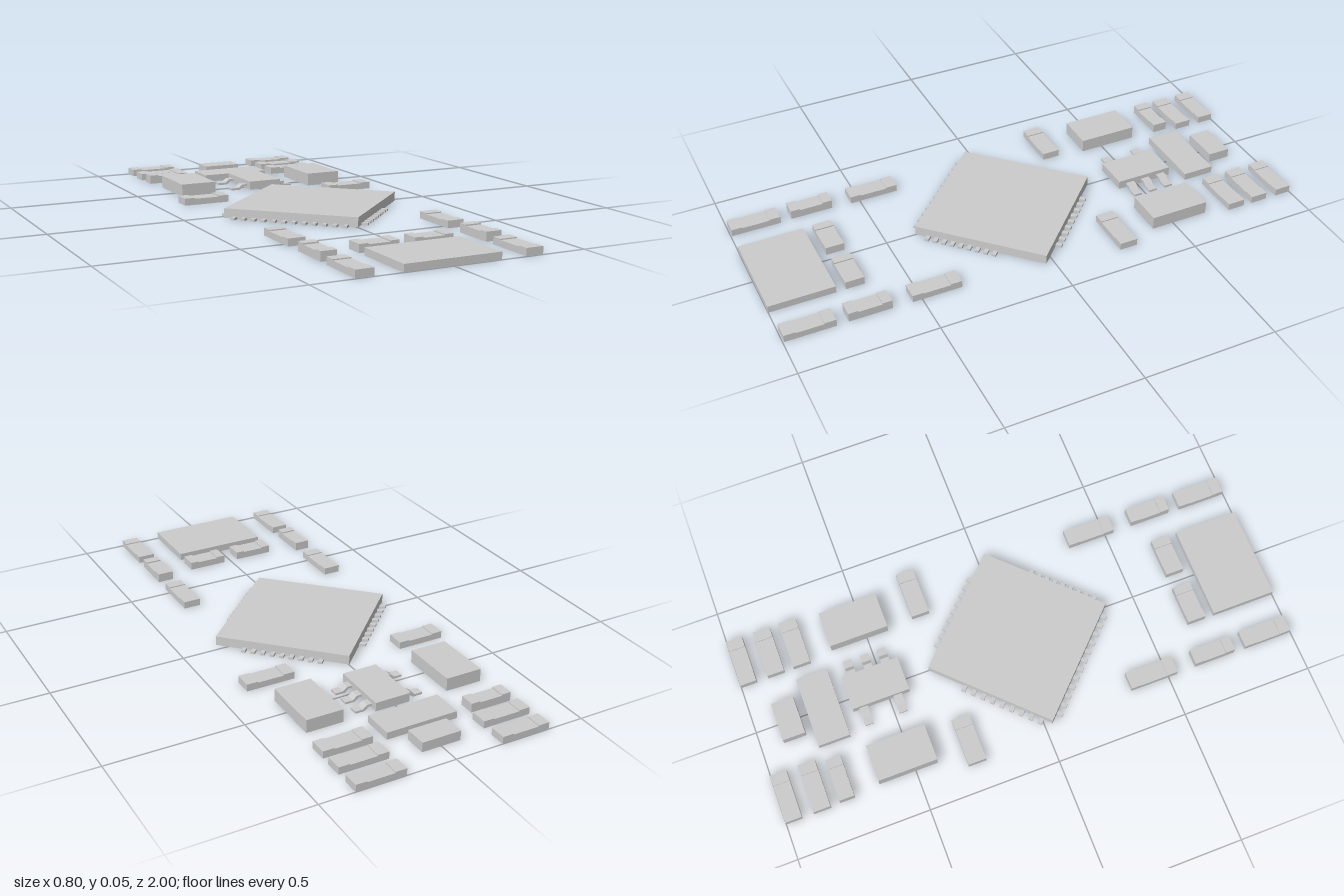
import * as THREE from 'three';

const grey = new THREE.MeshStandardMaterial({ color: 0xcccccc, flatShading: true });

// Box given by its extents in x, y and z
function box(name, x0, x1, y0, y1, z0, z1) {
  const mesh = new THREE.Mesh(new THREE.BoxGeometry(x1 - x0, y1 - y0, z1 - z0), grey);
  mesh.position.set((x0 + x1) / 2, (y0 + y1) / 2, (z0 + z1) / 2);
  mesh.name = name;
  return mesh;
}

// Two-terminal component: raised end caps with a lower body between, as one stepped profile
function chipComponent(name, x0, x1, z0, z1, h) {
  const alongX = x1 - x0 > z1 - z0;
  const length = alongX ? x1 - x0 : z1 - z0;
  const width = alongX ? z1 - z0 : x1 - x0;
  const a = length / 2, b = a * 0.55, low = h * 0.86;
  const profile = new THREE.Shape([
    [-a, 0], [a, 0], [a, h], [b, h], [b, low], [-b, low], [-b, h], [-a, h],
  ].map(([x, y]) => new THREE.Vector2(x, y)));
  const geometry = new THREE.ExtrudeGeometry(profile, { depth: width, bevelEnabled: false });
  geometry.translate(0, 0, -width / 2);
  const mesh = new THREE.Mesh(geometry, grey);
  if (!alongX) mesh.rotation.y = Math.PI / 2;
  mesh.position.set((x0 + x1) / 2, 0, (z0 + z1) / 2);
  mesh.name = name;
  return mesh;
}

// Bent lead running out along +x from the package wall down to the board
function gullWingLead(reach, width, top, thick) {
  const profile = new THREE.Shape([
    [-0.01, top - thick], [reach * 0.2, top - thick], [reach * 0.45, 0], [reach, 0],
    [reach, thick], [reach * 0.55, thick], [reach * 0.3, top], [-0.01, top],
  ].map(([x, y]) => new THREE.Vector2(x, y)));
  const geometry = new THREE.ExtrudeGeometry(profile, { depth: width, bevelEnabled: false });
  geometry.translate(0, 0, -width / 2);
  const mesh = new THREE.Mesh(geometry, grey);
  mesh.name = 'lead';
  return mesh;
}

// Square processor turned by 45 degrees, with short leads on each side
function processor() {
  const group = new THREE.Group();
  group.name = 'processor';
  const half = 0.252;
  group.add(box('processorBody', -half, half, 0.002, 0.037, -half, half));
  // Per side: quarter turns, lead count, first and last position along the edge
  const rows = [
    [0, 9, -0.15, 0.14],
    [1, 9, -0.21, 0.10],
    [2, 12, -0.21, 0.21],
    [3, 9, -0.06, 0.20],
  ];
  for (const [turns, count, from, to] of rows) {
    const side = new THREE.Group();
    side.name = 'leadRow';
    side.rotation.y = turns * Math.PI / 2;
    for (let i = 0; i < count; i++) {
      const z = from + (to - from) * i / (count - 1);
      side.add(box('lead', half - 0.01, half + 0.023, 0, 0.009, z - 0.008, z + 0.008));
    }
    group.add(side);
  }
  group.rotation.y = Math.PI / 4;
  group.position.z = 0.03;
  return group;
}

// Five-lead regulator
function regulator() {
  const group = new THREE.Group();
  group.name = 'regulator';
  group.add(box('regulatorBody', -0.053, 0.08, 0.003, 0.036, -0.64, -0.42));
  for (const z of [-0.6, -0.533, -0.467]) {
    const lead = gullWingLead(0.065, 0.033, 0.021, 0.008);
    lead.position.set(0.08, 0, z);
    group.add(lead);
    if (z === -0.533) continue;
    const mirrored = gullWingLead(0.067, 0.033, 0.021, 0.008);
    mirrored.rotation.y = Math.PI;
    mirrored.position.set(-0.053, 0, z);
    group.add(mirrored);
  }
  return group;
}

export function createModel() {
  const model = new THREE.Group();
  model.name = 'circuitComponents';
  model.add(processor(), regulator());

  // Plain blocks
  model.add(
    box('frontModule', -0.18, 0.178, 0, 0.027, 0.755, 1.0),
    box('crystal', -0.138, 0.135, 0, 0.027, -0.8, -0.68),
    box('rearBlock', -0.074, 0.074, 0, 0.036, -0.915, -0.83),
    box('rightInductor', -0.345, -0.205, 0, 0.049, -0.64, -0.415),
    box('leftInductor', 0.205, 0.345, 0, 0.049, -0.64, -0.415),
  );

  // Small two-terminal parts: x range, z range, height
  const chips = [
    [-0.365, -0.18, -1.0, -0.938, 0.027], [0.185, 0.37, -1.0, -0.938, 0.027],
    [-0.365, -0.18, -0.895, -0.83, 0.027], [0.185, 0.37, -0.895, -0.83, 0.027],
    [-0.36, -0.2, -0.795, -0.738, 0.034], [0.185, 0.37, -0.795, -0.728, 0.027],
    [-0.4, -0.22, -0.315, -0.247, 0.027], [0.215, 0.4, -0.315, -0.247, 0.027],
    [-0.345, -0.28, 0.35, 0.535, 0.027], [0.275, 0.34, 0.35, 0.535, 0.027],
    [-0.343, -0.285, 0.608, 0.767, 0.034], [0.277, 0.338, 0.608, 0.767, 0.034],
    [-0.345, -0.28, 0.81, 0.995, 0.027], [0.275, 0.34, 0.81, 0.995, 0.027],
    [-0.18, -0.03, 0.65, 0.72, 0.03], [0.028, 0.177, 0.65, 0.72, 0.03],
  ];
  chips.forEach((c) => model.add(chipComponent('chipCapacitor', ...c)));
  return model;
}
